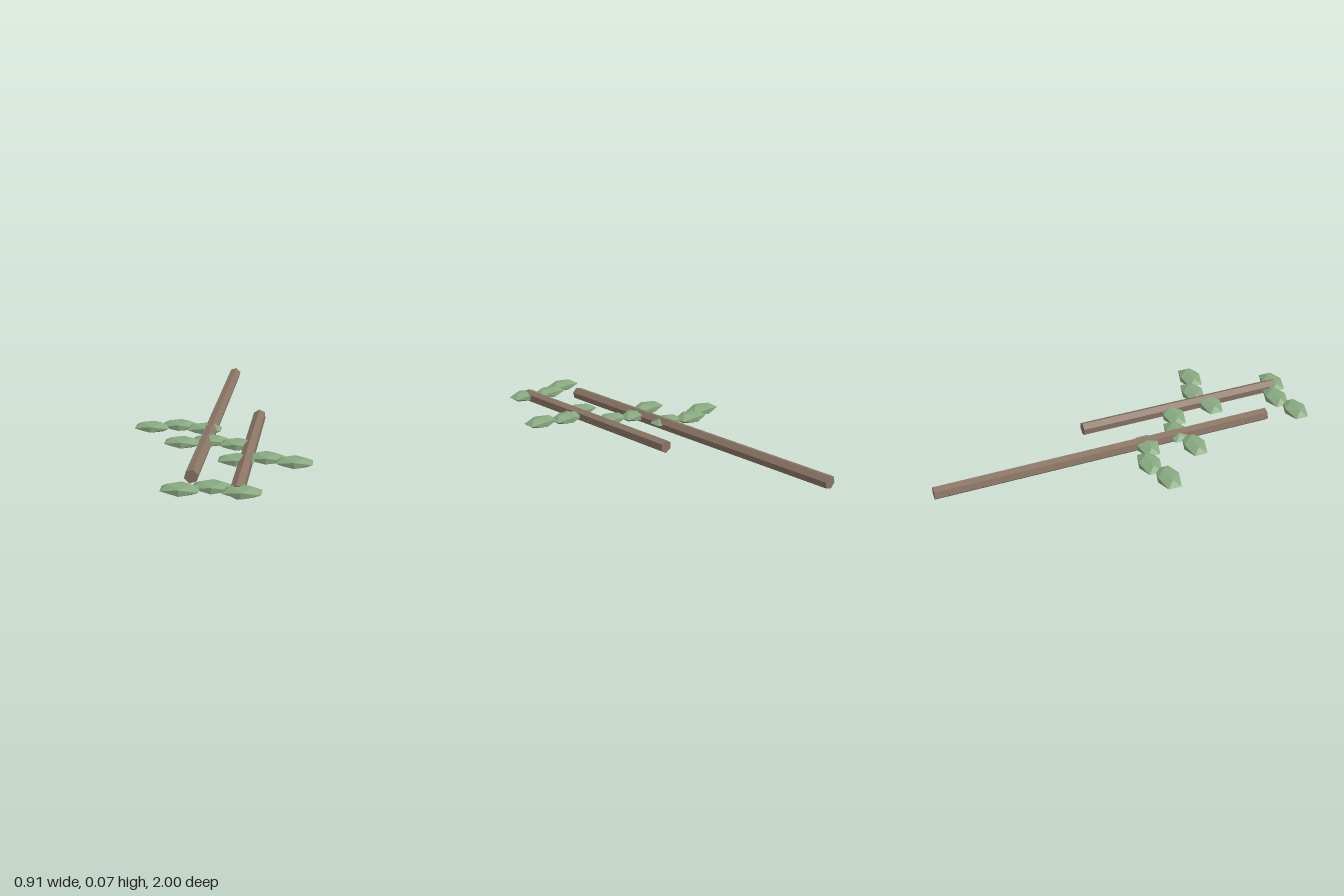
import * as THREE from 'three';

export function createModel() {
  const group = new THREE.Group();
  const bark = new THREE.MeshStandardMaterial({ color: 0x8a7565, flatShading: true });
  bark.name = 'bark brown';
  const foliage = new THREE.MeshStandardMaterial({ color: 0x88a880, flatShading: true });
  foliage.name = 'leaf green';

  // Six-sided stick lying along z, rolled slightly about its own axis
  function addStick(name, x, zBack, zFront, roll) {
    const geo = new THREE.CylinderGeometry(0.0335, 0.0335, zFront - zBack, 6);
    geo.rotateX(Math.PI / 2);
    geo.rotateZ(THREE.MathUtils.degToRad(roll));
    const stick = new THREE.Mesh(geo, bark);
    stick.name = name;
    stick.position.set(x, 0.0335, (zBack + zFront) / 2);
    group.add(stick);
  }
  addStick('longStick', -0.073, -1, 0.782, -15);
  addStick('shortStick', 0.149, -0.163, 0.95, 3);

  // Flattened faceted leaf; an icosahedron of radius 1 reaches 0.8507 along each axis
  const leafGeo = new THREE.IcosahedronGeometry(1 / 0.8507, 0);
  leafGeo.scale(0.0845, 0.0235, 0.055);

  // Each sprig is a row of three leaves with the middle one set back
  const sprigs = [[-0.24, 0.098], [-0.051, 0.322], [0.238, 0.545], [0.037, 0.945]];
  sprigs.forEach(([x, z], i) => {
    const sprig = new THREE.Group();
    sprig.name = `leafSprig${i + 1}`;
    sprig.position.set(x, 0.036, z);
    for (const side of [-1, 0, 1]) {
      const leaf = new THREE.Mesh(leafGeo, foliage);
      leaf.name = 'leaf';
      leaf.position.set(side * 0.134, 0, side === 0 ? -0.045 : 0);
      sprig.add(leaf);
    }
    group.add(sprig);
  });

  return group;
}
